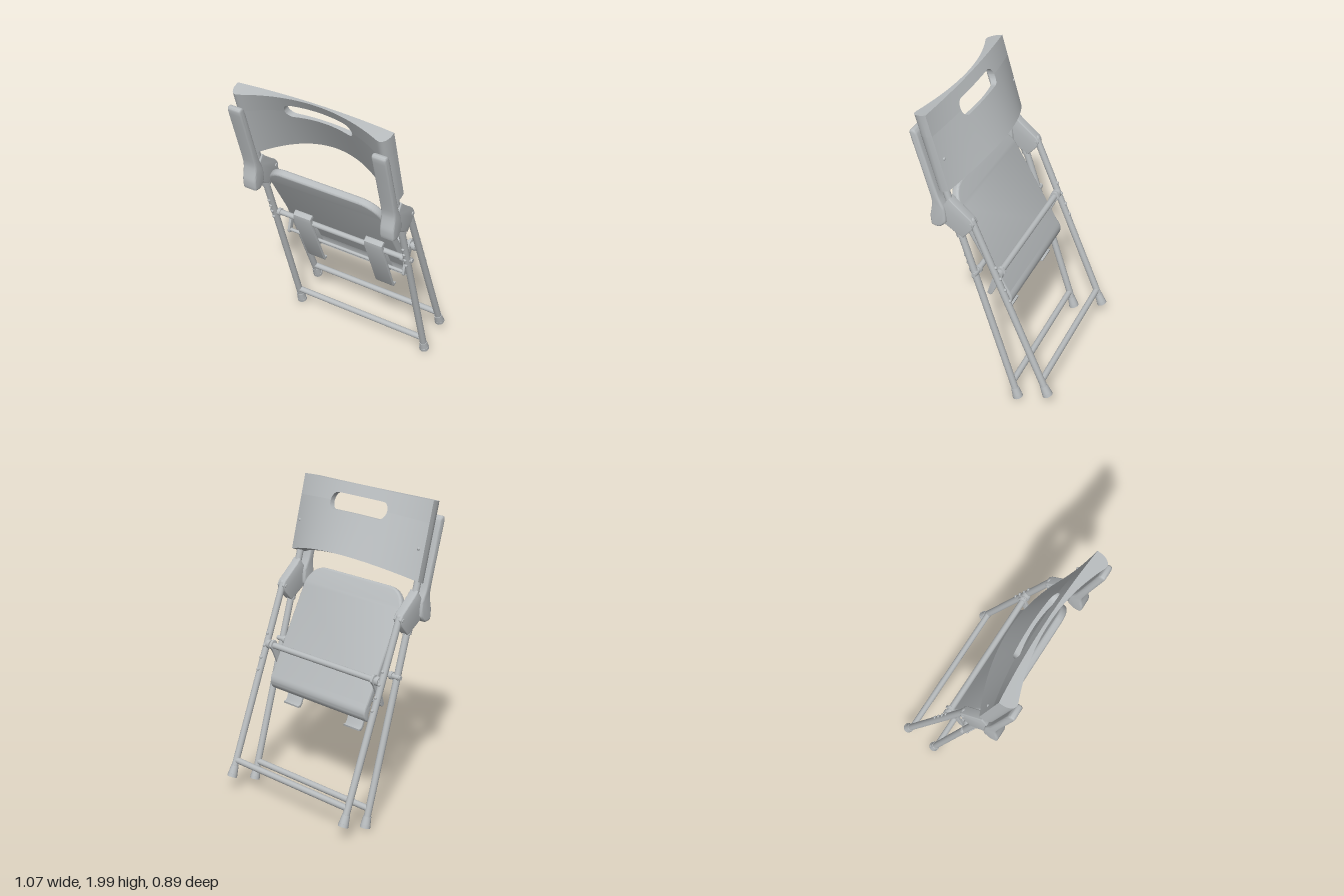
import * as THREE from 'three';
import { toCreasedNormals } from 'three/addons/utils/BufferGeometryUtils.js';

const grey = new THREE.MeshStandardMaterial({ color: 0xb8bcbe });
grey.name = 'satin grey';

const V = (x, y, z) => new THREE.Vector3(x, y, z);
// points on the two straight leg lines, by height
const frontAt = (x, y) => V(x, y, -0.2 + (y - 0.04) * 0.308);
const rearAt = (x, y) => V(x, y, -0.41 + (y - 0.11) * 0.41);

function add(parent, name, geometry) {
  const mesh = new THREE.Mesh(geometry, grey);
  mesh.name = name;
  parent.add(mesh);
  return mesh;
}

// round bar from a to b, optionally tapered
function rod(parent, name, a, b, r, rEnd = r) {
  const dir = b.clone().sub(a);
  const mesh = add(parent, name, new THREE.CylinderGeometry(rEnd, r, dir.length(), 20));
  mesh.position.copy(a).add(b).multiplyScalar(0.5);
  mesh.quaternion.setFromUnitVectors(V(0, 1, 0), dir.normalize());
  return mesh;
}

function dot(parent, name, p, r) {
  add(parent, name, new THREE.SphereGeometry(r, 12, 8)).position.copy(p);
}

// side profile of [z, y] points extruded across x, centred on cx
function sideExtrude(parent, name, points, cx, width, bevel = 0.006) {
  const shape = new THREE.Shape(points.map(([z, y]) => new THREE.Vector2(-z, y)));
  const geo = new THREE.ExtrudeGeometry(shape, {
    depth: width - 2 * bevel, bevelThickness: bevel, bevelSize: bevel, bevelOffset: -bevel, bevelSegments: 3,
  });
  geo.translate(0, 0, -width / 2 + bevel);
  geo.rotateY(Math.PI / 2);
  const mesh = add(parent, name, toCreasedNormals(geo, 0.6));
  mesh.position.x = cx;
  return mesh;
}

// smooth closed outline through a few [z, y] points
function smoothLoop(points, tension = 0.3) {
  const curve = new THREE.CatmullRomCurve3(points.map(([z, y]) => V(z, y, 0)), true, 'catmullrom', tension);
  return curve.getPoints(points.length * 5).slice(0, -1).map((p) => [p.x, p.y]);
}

// curved back panel: thin in the middle, thick at the ends, with a hand slot
function backrest(parent) {
  const W = 0.525, slot = 0.23, slotR = 0.047, xs = [];
  for (let i = 0; i < 18; i++) xs.push(-W + (W - slot) * (i / 18) ** 2);
  for (let i = 0; i <= 40; i++) xs.push(-slot * Math.cos((Math.PI * i) / 40));
  for (let i = 17; i >= 0; i--) xs.push(-xs[i]);

  const at = (x, v, front) => {
    const s = (x / W) ** 2, f = (x / 0.46) ** 2;
    const over = Math.max(0, Math.abs(x) - 0.465) / 0.063;
    const k = front ? Math.sqrt(Math.max(0, 1 - over * over)) : 0;
    const L = THREE.MathUtils.lerp;
    const bottom = [L(0.09 + 0.12 * s, 0.115 + 0.16 * f, k), L(1.61 - 0.09 * s, 1.6 - 0.13 * s, k)];
    const top = [L(0.315 + 0.025 * s, 0.335 + 0.09 * f, k), L(2 - 0.005 * s, 2 - 0.035 * s, k)];
    return [x, L(bottom[1], top[1], v), L(bottom[0], top[0], v)];
  };

  // bands below and above the slot
  for (const upper of [false, true]) {
    const pos = [], idx = [];
    xs.forEach((x, i) => {
      const e = Math.max(0, Math.abs(x) - (slot - slotR)) / slotR;
      const h = (e < 1 ? Math.sqrt(1 - e * e) : 0) * 0.123;
      const lo = upper ? 0.723 + h : 0, hi = upper ? 1 : 0.723 - h;
      pos.push(...at(x, lo, true), ...at(x, hi, true), ...at(x, hi, false), ...at(x, lo, false));
      if (i === 0) return;
      for (let k = 0; k < 4; k++) {
        const a = (i - 1) * 4 + k, b = (i - 1) * 4 + ((k + 1) % 4), c = b + 4, d = a + 4;
        idx.push(a, d, c, a, c, b);
      }
    });
    const n = (xs.length - 1) * 4;
    idx.push(0, 1, 2, 0, 2, 3, n, n + 2, n + 1, n, n + 3, n + 2);
    const geo = new THREE.BufferGeometry();
    geo.setAttribute('position', new THREE.Float32BufferAttribute(pos, 3));
    geo.setIndex(idx);
    add(parent, upper ? 'backrestUpper' : 'backrestLower', toCreasedNormals(geo, 0.6));
  }
}

// folded seat: slab with large upper corners and a rolled lower edge
function seat(parent) {
  const g = new THREE.Group();
  g.name = 'seat';
  g.position.set(0, 0.76, -0.12);
  g.rotation.x = Math.atan(0.56);
  parent.add(g);
  const w = 0.405, h = 0.77, r = 0.14, b = 0.014;
  const s = new THREE.Shape();
  s.moveTo(-w, 0);
  s.lineTo(w, 0);
  s.lineTo(w, h - r);
  s.absarc(w - r, h - r, r, 0, Math.PI / 2, false);
  s.absarc(r - w, h - r, r, Math.PI / 2, Math.PI, false);
  s.closePath();
  const geo = new THREE.ExtrudeGeometry(s, {
    depth: 0.05 - 2 * b, bevelThickness: b, bevelSize: b, bevelOffset: -b, bevelSegments: 4, curveSegments: 14,
  });
  geo.translate(0, 0, b);
  add(g, 'seatPanel', toCreasedNormals(geo, 0.6));
  const roll = [[0.05, 0.03], [0, 0.03]];
  for (let i = 0; i <= 10; i++) {
    const t = (Math.PI / 2) * (i / 10);
    roll.push([0.068 - 0.068 * Math.cos(t), -0.07 * Math.sin(t)]);
  }
  roll.push([0.075, -0.055], [0.055, -0.02]);
  sideExtrude(g, 'seatRolledEdge', roll, 0, 2 * w, 0.008);
}

export function createModel() {
  const chair = new THREE.Group();
  chair.name = 'foldingChair';
  backrest(chair);
  seat(chair);

  // cross bars
  const bar = (name, p, r) => rod(chair, name, V(-p.x, p.y, p.z), p, r);
  bar('frontLowerBar', frontAt(0.49, 0.13), 0.02);
  bar('rearLowerBar', rearAt(0.49, 0.21), 0.02);
  bar('rearSeatBar', rearAt(0.49, 0.945), 0.02);
  bar('frontSeatBar', V(0.515, 0.94, 0.068), 0.018);
  bar('linkRod', V(0.435, 0.77, 0), 0.011);

  for (const m of [-1, 1]) {
    const x = 0.49 * m;
    const side = new THREE.Group();
    side.name = m > 0 ? 'leftSide' : 'rightSide';
    chair.add(side);

    // legs and rubber feet
    rod(side, 'frontLeg', frontAt(x, 0.04), frontAt(x, 1.62), 0.022);
    rod(side, 'rearLeg', rearAt(x, 0.14), rearAt(x, 1.32), 0.022);
    dot(side, 'rearLegCap', rearAt(x, 1.32), 0.023);
    for (const [at, y] of [[frontAt, 0.015], [rearAt, 0.105]]) {
      rod(side, 'footBase', at(x, y), at(x, y + 0.02), 0.033, 0.032);
      rod(side, 'foot', at(x, y + 0.018), at(x, y + 0.07), 0.031, 0.025);
    }
    rod(side, 'legCollar', frontAt(x, 1.195), frontAt(x, 1.26), 0.03);

    // adjustment buttons on the legs
    for (let i = 0; i < 4; i++) {
      dot(side, 'frontLegButton', frontAt(x, 0.91 + i * 0.05).add(V(0, -0.006, 0.02)), 0.011);
      dot(side, 'rearLegButton', rearAt(x, 0.78 + i * 0.075).add(V(0, 0.008, -0.019)), 0.011);
    }

    // hinge bracket and its pivot
    sideExtrude(side, 'hingeBracket', [
      [0.22, 1.46], [0.19, 1.43], [0.08, 1.34], [0.062, 1.31], [0.075, 1.27],
      [0.135, 1.2], [0.19, 1.23], [0.27, 1.28], [0.26, 1.4],
    ], x, 0.06);
    rod(side, 'hingePivot', V(x - 0.036, 1.305, 0.085), V(x + 0.036, 1.305, 0.085), 0.012);

    // folded armrest
    sideExtrude(side, 'armrest', smoothLoop([
      [0.445, 1.86], [0.385, 1.65], [0.325, 1.43], [0.338, 1.32], [0.33, 1.255], [0.28, 1.248],
      [0.238, 1.29], [0.245, 1.38], [0.28, 1.46], [0.34, 1.66], [0.398, 1.86], [0.425, 1.885],
    ]), 0.488 * m, 0.095, 0.012);

    // backrest screw
    dot(side, 'backrestScrew', V(x, 1.71, 0.253), 0.011);

    // bar collars and seat link plate
    rod(side, 'rearBarCollar', rearAt(0.45 * m, 0.945), rearAt(0.475 * m, 0.945), 0.03);
    rod(side, 'frontBarCollar', V(0.445 * m, 0.94, 0.068), V(0.465 * m, 0.94, 0.068), 0.025);
    rod(side, 'frontBarCap', V(0.51 * m, 0.94, 0.068), V(0.525 * m, 0.94, 0.068), 0.014);
    sideExtrude(side, 'seatLinkPlate', smoothLoop([
      [-0.045, 0.965], [-0.08, 0.98], [-0.103, 0.945], [-0.08, 0.91],
      [-0.018, 0.77], [0, 0.75], [0.018, 0.77],
    ]), 0.43 * m, 0.016, 0.002);

    // clip hooked over the front bar with a lip at its lower end
    sideExtrude(side, 'seatClip', [
      [0.035, 0.985], [0.055, 1.01], [0.085, 1.01], [0.108, 0.99], [0.106, 0.96], [-0.045, 0.59],
      [-0.06, 0.572], [-0.085, 0.577], [-0.087, 0.589], [-0.066, 0.592], [-0.055, 0.61],
      [0.078, 0.95], [0.08, 0.98], [0.06, 0.985],
    ], 0.262 * m, 0.128, 0.002);
    // clip foot against the seat underside
    sideExtrude(side, 'clipPad', [[0.04, 0.89], [-0.04, 0.70], [-0.09, 0.70], [0.01, 0.89]], 0.262 * m, 0.08, 0.002);
  }
  return chair;
}
